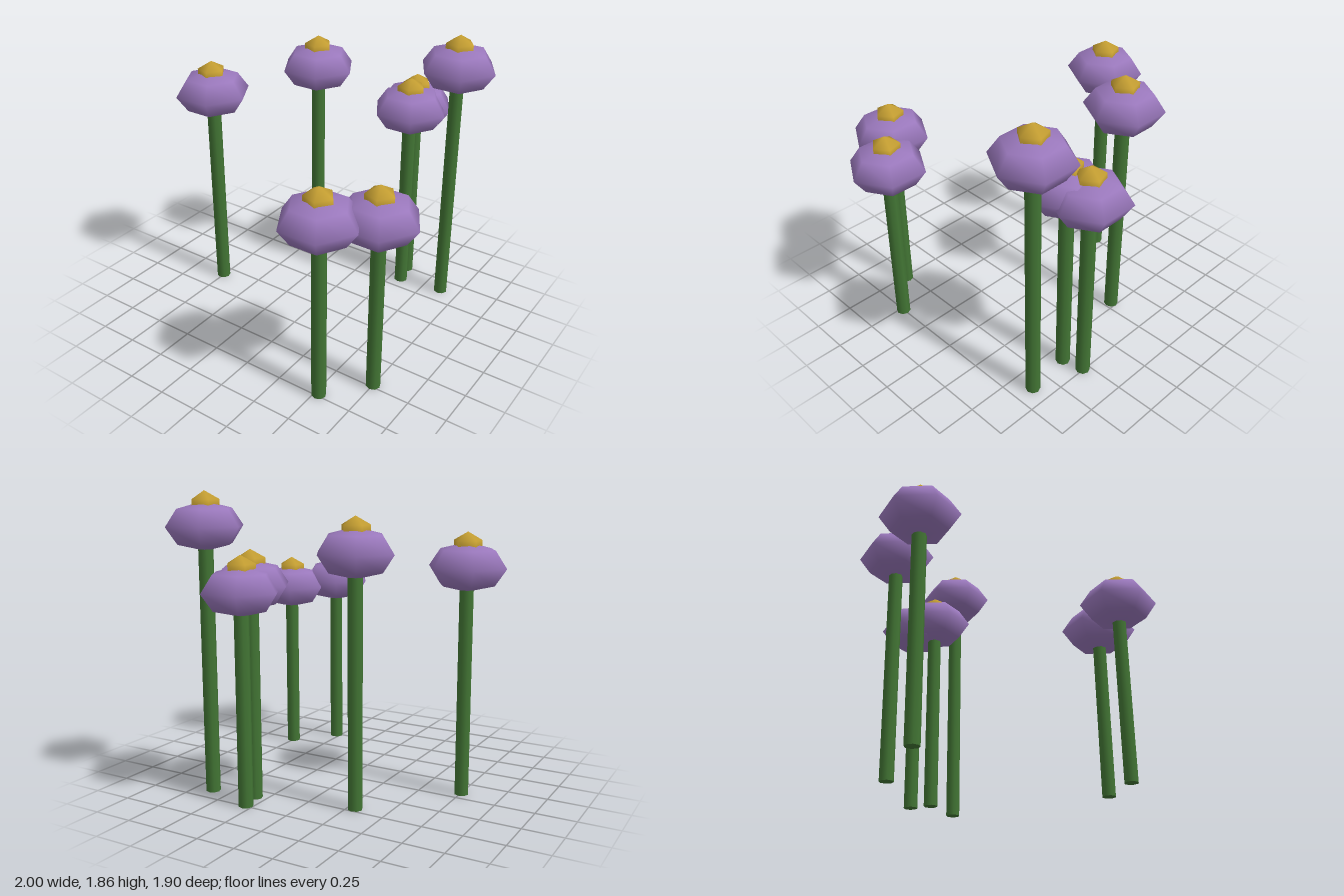
import * as THREE from 'three';

const R = 0.246; // head radius

// x, z and head centre height of each flower
const FLOWERS = [
  [-0.754, 0.08, 1.414],
  [-0.3, -0.462, 1.52],
  [0.293, -0.74, 1.297],
  [0.325, -0.6, 1.318],
  [0.624, -0.633, 1.651],
  [0.75, 0.48, 1.156],
  [0.528, 0.733, 1.191],
];

export function createModel() {
  const green = new THREE.MeshStandardMaterial({ name: 'stem green', color: 0x427534 });
  const purple = new THREE.MeshStandardMaterial({ name: 'petal purple', color: 0x9a78bc });
  const gold = new THREE.MeshStandardMaterial({ name: 'centre gold', color: 0xc9a233 });

  // Flattened six-sided head and five-sided centre bud
  const headGeo = new THREE.SphereGeometry(R, 6, 4).scale(1, 0.6, 1);
  const budGeo = new THREE.SphereGeometry(0.102, 5, 3).rotateY(Math.PI);

  const add = (group, name, geometry, material, y) => {
    const mesh = new THREE.Mesh(geometry, material);
    mesh.name = name;
    mesh.position.y = y;
    group.add(mesh);
  };

  const model = new THREE.Group();
  model.name = 'flowerPatch';
  FLOWERS.forEach(([x, z, h], i) => {
    const flower = new THREE.Group();
    flower.name = `flower${i + 1}`;
    flower.position.set(x, 0, z);
    // Stem ends inside the head
    add(flower, 'stem', new THREE.CylinderGeometry(0.045, 0.045, h, 8), green, h / 2);
    add(flower, 'head', headGeo, purple, h);
    add(flower, 'centreBud', budGeo, gold, h + 0.107);
    model.add(flower);
  });
  return model;
}
